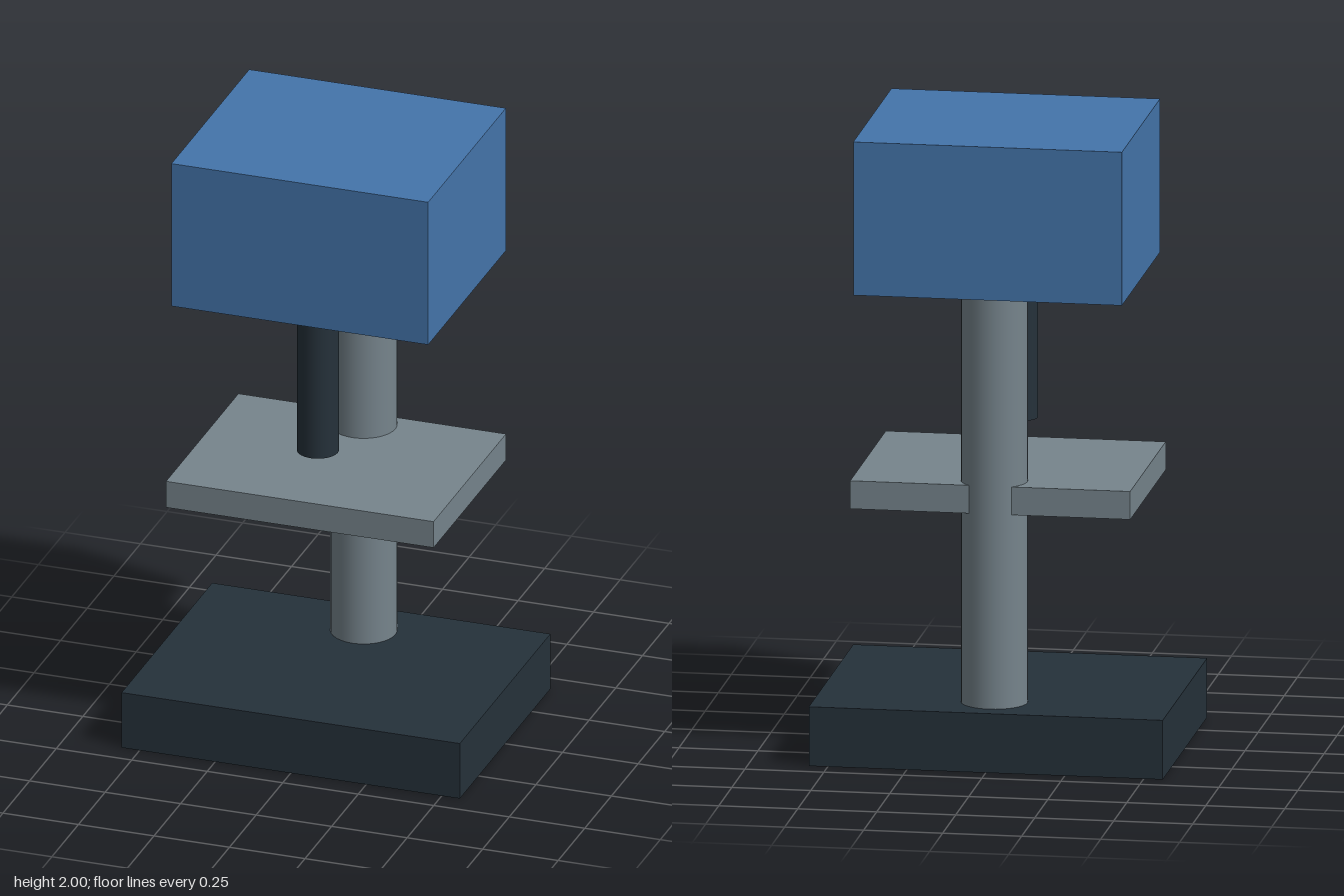
import * as THREE from 'three';

export function createModel() {
  const group = new THREE.Group();
  const material = (name, color) => {
    const m = new THREE.MeshStandardMaterial({ color });
    m.name = name;
    return m;
  };
  const blue = material('blue paint', 0x4474aa);
  const grey = material('grey steel', 0x76848c);
  const dark = material('dark iron', 0x25313a);

  // Each part stands between heights y0 and y1
  const add = (name, geometry, mat, y0, y1, z) => {
    const mesh = new THREE.Mesh(geometry, mat);
    mesh.name = name;
    mesh.position.set(0, (y0 + y1) / 2, z);
    group.add(mesh);
  };
  const block = (name, mat, width, y0, y1, z0, z1) =>
    add(name, new THREE.BoxGeometry(width, y1 - y0, z1 - z0), mat, y0, y1, (z0 + z1) / 2);
  const rod = (name, mat, radius, y0, y1, z) =>
    add(name, new THREE.CylinderGeometry(radius, radius, y1 - y0, 32), mat, y0, y1, z);

  // Heavy foot and the column at its back
  block('base', dark, 1.12, 0, 0.19, -0.425, 0.425);
  rod('column', grey, 0.105, 0.19, 1.508, -0.26);

  // Work table around the column
  block('table', grey, 0.886, 0.81, 0.9, -0.34, 0.34);

  // Drive head with the spindle hanging below its front
  block('head', blue, 0.85, 1.508, 2, -0.39, 0.34);
  rod('spindle', dark, 0.066, 1.003, 1.508, 0.17);

  return group;
}
